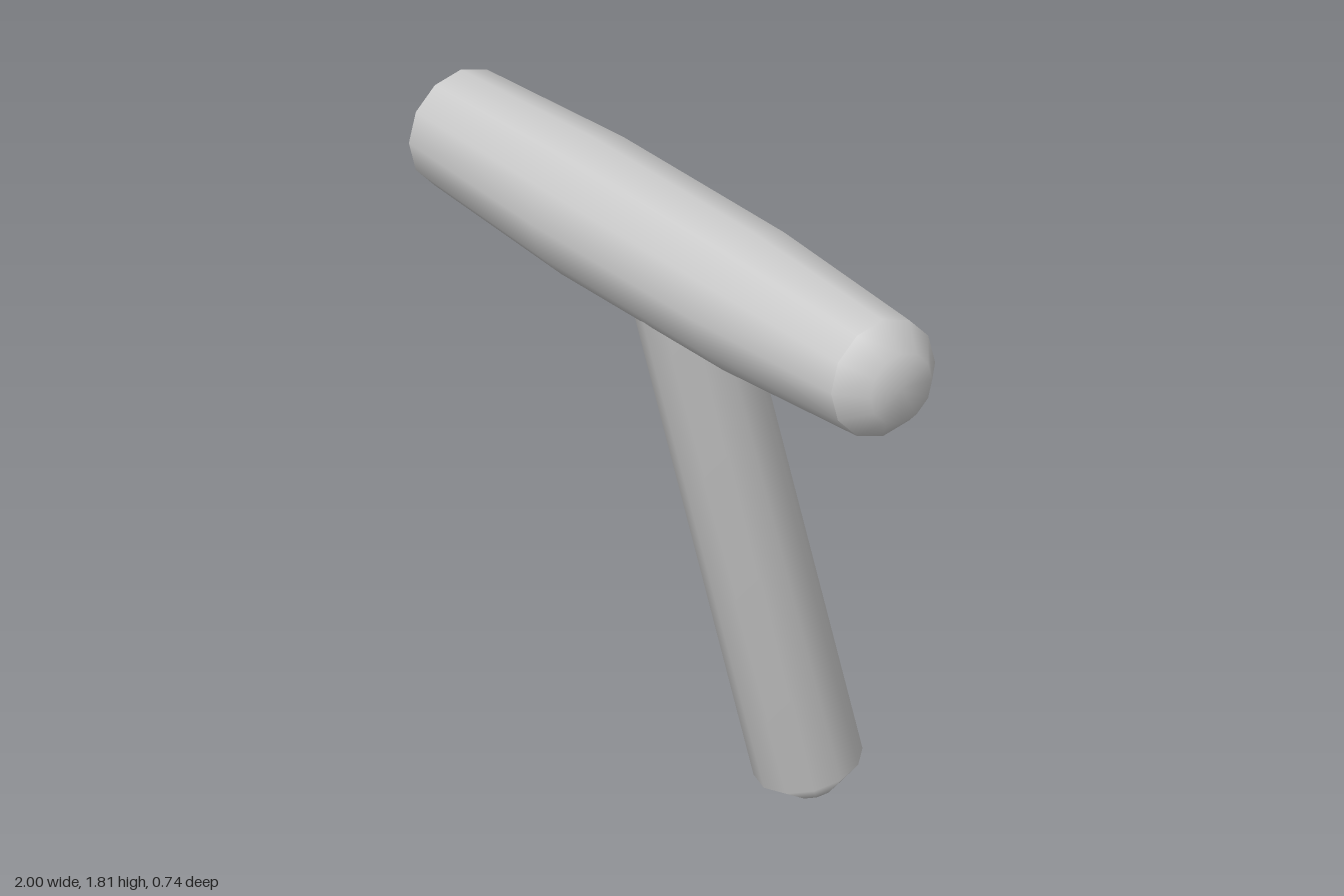
import * as THREE from 'three';

const SIDES = 12;
const grey = new THREE.MeshStandardMaterial({ color: 0xcccccc });

// Turned part from [radius, height] pairs, listed bottom to top
function turned(name, profile) {
  const points = profile.map(([r, y]) => new THREE.Vector2(r, y));
  const mesh = new THREE.Mesh(new THREE.LatheGeometry(points, SIDES), grey);
  mesh.name = name;
  return mesh;
}

export function createModel() {
  const model = new THREE.Group();
  model.name = 'mallet';

  // Barrel-shaped head lying along x, with chamfered ends
  const head = new THREE.Group();
  head.name = 'head';
  head.add(
    turned('headBarrel', [[0.163, -0.937], [0.193, -0.36], [0.193, 0.35], [0.163, 0.92]]),
    turned('rightHeadCap', [[0, -1], [0.097, -1], [0.163, -0.937]]),
    turned('leftHeadCap', [[0.163, 0.92], [0.097, 1], [0, 1]])
  );
  head.rotation.z = -Math.PI / 2;
  head.position.set(0, 1.622, 0.178);

  // Handle leaning backwards from the centre of the head
  const handle = new THREE.Group();
  handle.name = 'handle';
  const buttEnd = new THREE.Mesh(new THREE.CircleGeometry(0.063, SIDES), grey);
  buttEnd.name = 'handleButt';
  buttEnd.rotation.x = Math.PI / 2;
  buttEnd.position.y = -1.66;
  handle.add(
    turned('handleShaft', [[0.063, -1.66], [0.143, -1.588], [0.143, 0]]),
    buttEnd
  );
  handle.rotation.x = THREE.MathUtils.degToRad(15);
  handle.position.set(0.012, 1.622, 0.178);

  model.add(head, handle);
  return model;
}
